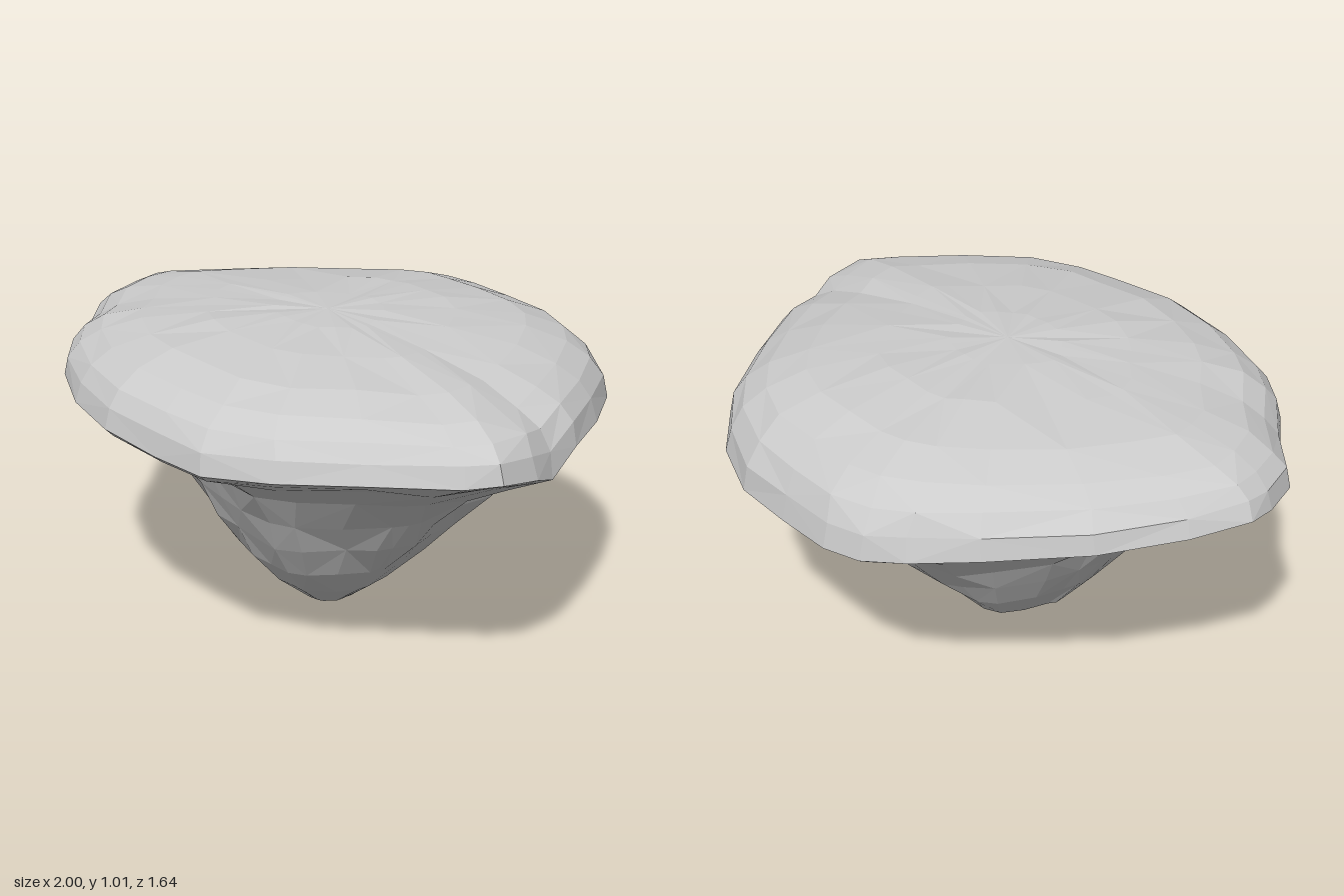
import * as THREE from 'three';

// rim edge as x, z, y, running left, back, right, front
const RIM = [
  [1, 0.15, 0.78], [0.97, 0, 0.75], [0.92, -0.1, 0.71], [0.85, -0.25, 0.755], [0.72, -0.45, 0.745],
  [0.56, -0.64, 0.735], [0.42, -0.75, 0.7], [0.22, -0.815, 0.68], [0, -0.82, 0.685], [-0.2, -0.815, 0.69],
  [-0.33, -0.78, 0.7], [-0.45, -0.7, 0.72], [-0.6, -0.55, 0.74], [-0.8, -0.3, 0.76], [-0.93, -0.06, 0.78],
  [-1, 0.12, 0.8], [-0.98, 0.22, 0.79], [-0.92, 0.36, 0.78], [-0.75, 0.5, 0.76], [-0.63, 0.62, 0.79],
  [-0.5, 0.71, 0.78], [-0.28, 0.79, 0.77], [-0.04, 0.82, 0.765], [0.2, 0.79, 0.75], [0.4, 0.76, 0.75],
  [0.6, 0.65, 0.77], [0.78, 0.45, 0.775], [0.95, 0.25, 0.775],
];
const CENTRE_Z = 0.04;
const TOP_Y = 1.005;

// underside rings: share of rim height, then share of rim radius in eight
// directions: left, back left, back, back right, right, front right, front, front left
const UNDER = [
  [0.025, [0.07, 0.09, 0.09, 0.09, 0.08, 0.09, 0.09, 0.08]],
  [0.15, [0.2, 0.24, 0.18, 0.27, 0.24, 0.23, 0.24, 0.23]],
  [0.3, [0.31, 0.38, 0.3, 0.39, 0.33, 0.38, 0.36, 0.37]],
  [0.45, [0.41, 0.51, 0.43, 0.48, 0.42, 0.47, 0.44, 0.46]],
  [0.6, [0.5, 0.64, 0.55, 0.57, 0.49, 0.56, 0.5, 0.54]],
  [0.75, [0.63, 0.75, 0.67, 0.69, 0.63, 0.68, 0.57, 0.64]],
  [0.88, [0.8, 0.86, 0.83, 0.82, 0.79, 0.81, 0.77, 0.8]],
  [0.96, [0.94, 0.95, 0.95, 0.94, 0.92, 0.94, 0.96, 0.94]],
];

// cap rings: share of rim radius, share of the rise from rim to top
// towards the sides, and the same towards front and back
const CAP = [
  [1, 0, 0], [0.98, 0.27, 0.27], [0.935, 0.47, 0.5], [0.85, 0.62, 0.72],
  [0.7, 0.78, 0.87], [0.45, 0.91, 0.97], [0.2, 0.98, 0.995],
];

// ease between the eight directional values
function blend(values, dx, dz) {
  const a = ((Math.atan2(-dz, dx) / (Math.PI / 4)) + 8) % 8;
  const i = Math.floor(a);
  return THREE.MathUtils.lerp(values[i % 8], values[(i + 1) % 8], THREE.MathUtils.smoothstep(a - i, 0, 1));
}

function seeded(seed) {
  return () => {
    seed = (seed * 16807) % 2147483647;
    return seed / 2147483647 - 0.5;
  };
}

function rockGeometry() {
  const rand = seeded(71);
  const n = RIM.length;
  const positions = [0, 0, CENTRE_Z];
  const index = [];

  // one closed ring; place(dx, dz, rimY) returns [radius share, height]
  function addRing(place, roughness) {
    for (const [x, z, rimY] of RIM) {
      const vz = z - CENTRE_Z, r = Math.hypot(x, vz);
      const [share, y] = place(x / r, vz / r, rimY);
      const s = share * (1 + rand() * roughness);
      const turn = rand() * roughness * 2;
      positions.push(
        s * (x * Math.cos(turn) - vz * Math.sin(turn)),
        y * (1 + rand() * roughness * 0.7),
        CENTRE_Z + s * (vz * Math.cos(turn) + x * Math.sin(turn)),
      );
    }
  }

  for (const [h, shares] of UNDER) {
    addRing((dx, dz, rimY) => [blend(shares, dx, dz), h * rimY], h > 0.9 ? 0.01 : 0.04);
  }
  for (const [share, sideRise, frontRise] of CAP) {
    addRing((dx, dz, rimY) => {
      const rise = dx * dx * sideRise + dz * dz * frontRise;
      return [share, rimY + (TOP_Y - rimY) * rise];
    }, share === 1 ? 0 : 0.012);
  }
  const top = positions.length / 3;
  positions.push(0, TOP_Y, CENTRE_Z);

  // skin the rings, alternating the diagonals for an irregular facet pattern
  const rings = UNDER.length + CAP.length;
  for (let j = 0; j < n; j++) {
    const k = (j + 1) % n;
    index.push(0, 1 + k, 1 + j);
    for (let i = 0; i < rings - 1; i++) {
      const a = 1 + i * n + j, b = 1 + i * n + k, c = b + n, d = a + n;
      if ((i + j) % 2) index.push(a, b, c, a, c, d);
      else index.push(a, b, d, b, c, d);
    }
    const last = 1 + (rings - 1) * n;
    index.push(last + j, last + k, top);
  }

  const geometry = new THREE.BufferGeometry();
  geometry.setAttribute('position', new THREE.Float32BufferAttribute(positions, 3));
  geometry.setIndex(index);
  geometry.computeVertexNormals();
  return geometry;
}

export function createModel() {
  const model = new THREE.Group();
  model.name = 'floatingRock';
  const material = new THREE.MeshStandardMaterial({ color: 0xcccccc, flatShading: true });
  const rock = new THREE.Mesh(rockGeometry(), material);
  rock.name = 'rock';
  model.add(rock);
  return model;
}
